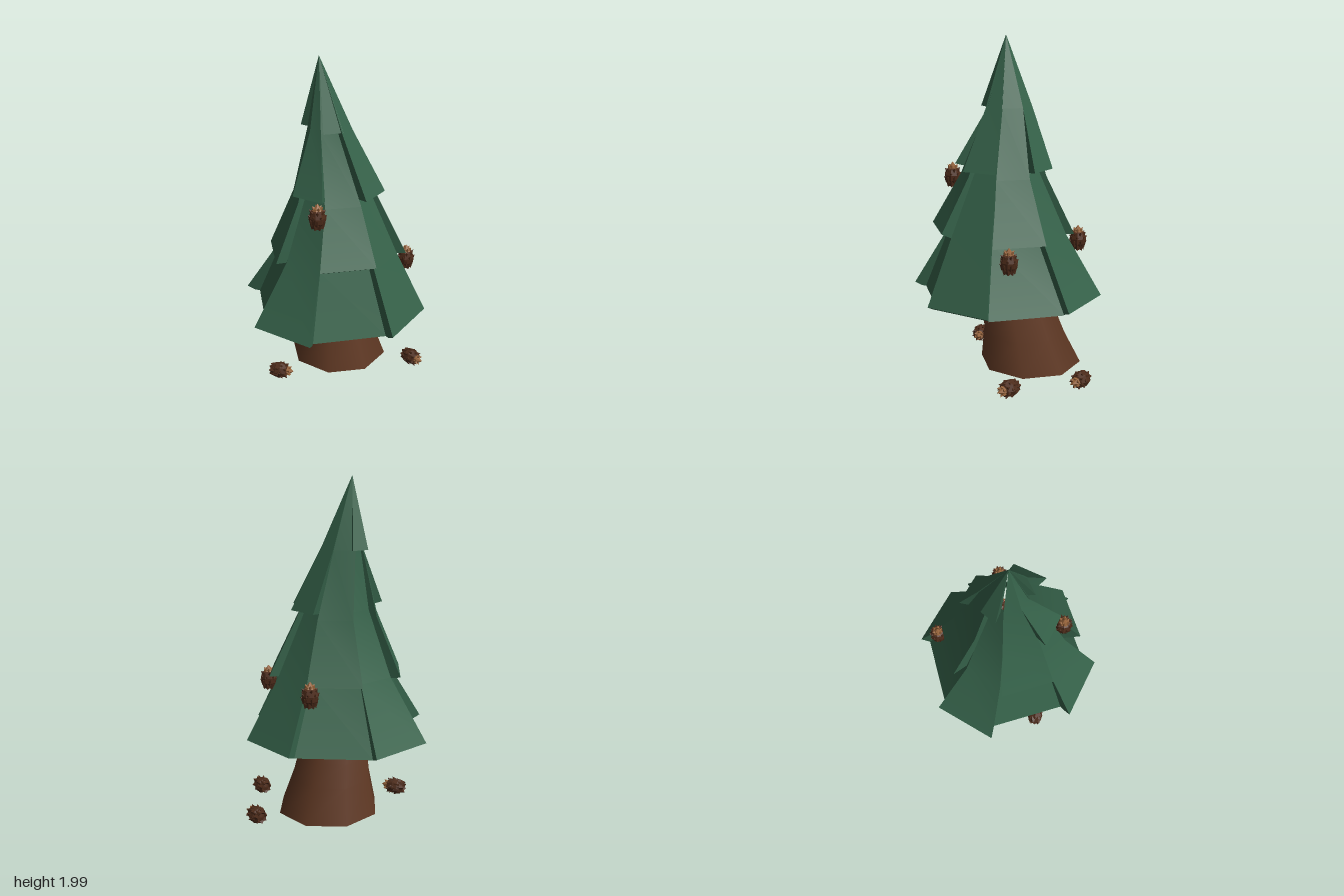
import * as THREE from 'three';
import { mergeGeometries, toCreasedNormals } from 'three/addons/utils/BufferGeometryUtils.js';

const mat = (name, color, extra = {}) => {
  const m = new THREE.MeshStandardMaterial({ color, ...extra });
  m.name = name;
  return m;
};

// Leaning centre line of the foliage [y, x, z, depth that panel walls reach inwards]
const SPINE = [
  [0.47, 0, 0, 0.17], [0.85, 0.005, 0.015, 0.3], [1.24, 0.01, 0.01, 0.185],
  [1.59, -0.045, 0, 0.085], [2, -0.08, 0.01, 0],
];
function spine(y) {
  let i = 0;
  while (i < SPINE.length - 2 && y > SPINE[i + 1][0]) i++;
  const [a, b] = [SPINE[i], SPINE[i + 1]];
  const t = (y - a[0]) / (b[0] - a[0]);
  return [1, 2, 3].map((k) => a[k] + (b[k] - a[k]) * t);
}

// Foliage panel between two angles; rows run from top to bottom as [y, radius, angle gap]
function panel(a0, a1, rows) {
  const rings = rows.map(([y, r, gap = 0]) => {
    const [cx, cz, depth] = spine(y);
    const at = (deg, rad) => {
      const a = THREE.MathUtils.degToRad(deg);
      return [cx + rad * Math.cos(a), y, cz + rad * Math.sin(a)];
    };
    const inner = Math.min(depth, r * 0.95);
    return { R: at(a0 + gap, r), L: at(a1 - gap, r), r: at(a0 + gap, inner), l: at(a1 - gap, inner) };
  });
  const pos = [];
  const quad = (a, b, c, d) => [a, b, c, a, c, d].forEach((v) => pos.push(...v));
  for (let i = 0; i < rings.length - 1; i++) {
    const t = rings[i], b = rings[i + 1];
    quad(t.L, b.L, b.R, t.R);
    quad(t.R, b.R, b.r, t.r);
    quad(t.l, b.l, b.L, t.L);
  }
  const e = rings[rings.length - 1];
  quad(e.r, e.R, e.L, e.l);
  const g = new THREE.BufferGeometry();
  g.setAttribute('position', new THREE.Float32BufferAttribute(pos, 3));
  return toCreasedNormals(g, 0.45);
}

const TOP = [2, 0.001];

function makeFoliage(material) {
  const group = new THREE.Group();
  group.name = 'foliage';
  const add = (name, a0, a1, rows) => {
    const m = new THREE.Mesh(panel(a0, a1, rows), material);
    m.name = name;
    group.add(m);
  };

  // Projecting skirt panels: angles, radius at mid height, radius at the hem
  const wide = [[0, 41, 0.385, 0.567], [91, 131, 0.34, 0.575], [185, 225, 0.345, 0.58], [274, 313, 0.385, 0.585]];
  for (const [a0, a1, mid, hem] of wide) {
    add('skirtPanel', a0, a1, [[1.62, 0.09], [1.24, 0.205], [0.85, mid], [0.49, hem], [0.47, 0.53]]);
  }

  // Upper layer over three of them: angles, radius high up, lip height
  for (const [a0, a1, r, lip] of [[-1, 41, 0.155, 1.24], [91, 131, 0.11, 1.25], [274, 313, 0.155, 1.24]]) {
    add('upperPanel', a0, a1, [TOP, [1.59, r], [lip, 0.295], [1.23, 0.19]]);
  }

  // Inset skirt panels, each under a middle layer:
  // angles, hem radius, radius high up, lip radius, lip height
  const inset = [
    [41, 91, 0.505, 0.115, 0.43, 0.89], [131, 185, 0.495, 0.11, 0.4, 0.85],
    [225, 274, 0.527, 0.148, 0.43, 0.85], [313, 360, 0.543, 0.155, 0.435, 0.85],
  ];
  for (const [a0, a1, hem, high, r, lip] of inset) {
    add('insetPanel', a0, a1, [[1.62, 0.085], [1.24, 0.19], [0.85, 0.335], [0.47, hem]]);
    add('middlePanel', a0, a1, [TOP, [1.59, high], [1.2, 0.255, 1], [lip, r, 3], [0.84, 0.33, 3]]);
  }

  // Two small crown panels below the apex
  add('crownPanel', 196, 232, [TOP, [1.59, 0.165], [1.585, 0.095]]);
  add('crownPanel', 36, 82, [TOP, [1.595, 0.15], [1.585, 0.09]]);
  return group;
}

// Flared trunk bending backwards at the foot
function makeTrunk(material) {
  const rows = [[0.04, -0.157, 0.307], [0.23, -0.115, 0.248], [0.36, -0.085, 0.225], [0.5, -0.06, 0.205]];
  const parts = rows.map(([y, z, r]) => ({ y, z, r }));
  const g = new THREE.CylinderGeometry(1, 1, 1, 8, 3, true);
  const p = g.attributes.position, n = g.attributes.normal;
  for (let i = 0; i < p.count; i++) {
    const { y, z, r } = parts[Math.round((p.getY(i) + 0.5) * 3)];
    n.setY(i, 0.25);
    p.setXYZ(i, p.getX(i) * r, y, z + p.getZ(i) * r);
  }
  g.normalizeNormals();
  const m = new THREE.Mesh(g, material);
  m.name = 'trunk';
  return m;
}

// Pointed scale set on a ring around the cone axis
function scale(angle, y, r, tilt, size) {
  const g = new THREE.ConeGeometry(size * 0.6, size, 4);
  g.rotateZ(-Math.PI / 2 + tilt);
  g.translate(r, y, 0);
  return g.rotateY(angle);
}

function pineConeParts() {
  const profile = [[0, -0.068], [0.028, -0.062], [0.046, -0.035], [0.049, -0.005], [0.038, 0.03], [0, 0.05]];
  const body = [new THREE.LatheGeometry(profile.map(([x, y]) => new THREE.Vector2(x, y)), 8)];
  const rings = [[-0.048, 0.032], [-0.024, 0.04], [0, 0.04], [0.024, 0.034]];
  rings.forEach(([y, r], k) => {
    for (let i = 0; i < 7; i++) body.push(scale((i + (k % 2) / 2) * Math.PI * 2 / 7, y, r, 0.75, 0.037));
  });
  const tip = [new THREE.ConeGeometry(0.03, 0.04, 6).translate(0, 0.056, 0)];
  for (let i = 0; i < 6; i++) tip.push(scale(i * Math.PI / 3, 0.045, 0.021, 0.9, 0.034));
  return [mergeGeometries(body), mergeGeometries(tip)];
}

export function createModel() {
  const green = mat('foliage green', 0x356149);
  const bark = mat('bark brown', 0x5f3823, { side: THREE.DoubleSide });
  const dark = mat('pine cone brown', 0x4c2b1a, { flatShading: true });
  const tan = mat('pine cone tip tan', 0x94623a, { flatShading: true });

  const model = new THREE.Group();
  model.name = 'pineTree';
  model.add(makeFoliage(green), makeTrunk(bark));

  // Three hanging cones, then three lying on the ground: [x, y, z, heading of the tip]
  const [bodyGeo, tipGeo] = pineConeParts();
  const cones = [
    [-0.02, 1.182, 0.325, null], [0.43, 0.788, -0.095, null], [-0.02, 0.822, -0.435, null],
    [-0.283, 0.066, 0.22, 0], [0.318, 0.066, -0.487, -0.5], [0.5, 0.066, -0.1, -0.6],
  ];
  for (const [x, y, z, heading] of cones) {
    const cone = new THREE.Group();
    cone.name = heading === null ? 'hangingPineCone' : 'fallenPineCone';
    const body = new THREE.Mesh(bodyGeo, dark);
    body.name = 'pineConeBody';
    const tip = new THREE.Mesh(tipGeo, tan);
    tip.name = 'pineConeTip';
    cone.add(body, tip);
    cone.position.set(x, y, z);
    if (heading !== null) cone.rotation.set(0, heading, -Math.PI / 2);
    model.add(cone);
  }
  return model;
}
